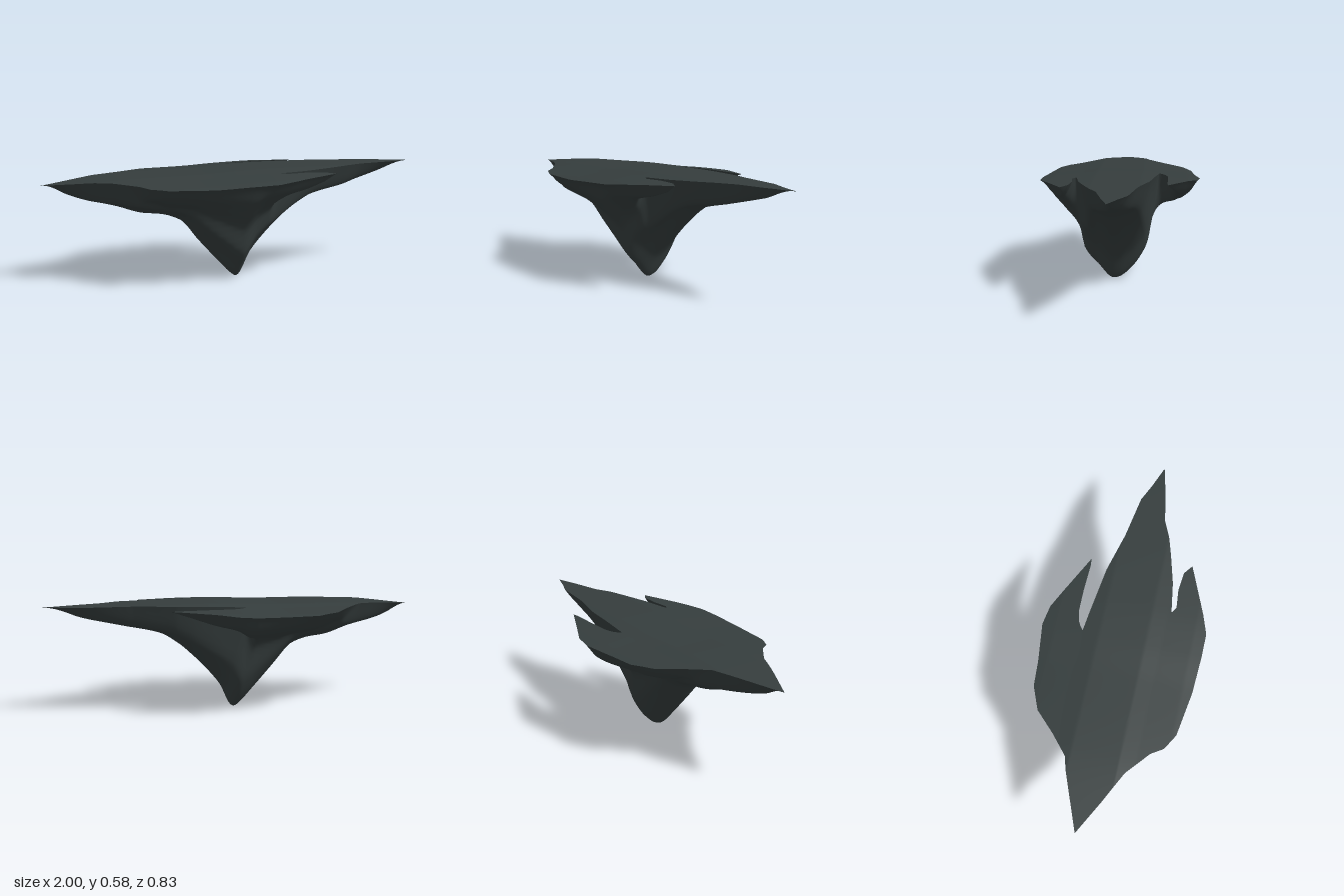
import * as THREE from 'three';
import { mergeGeometries, mergeVertices } from 'three/addons/utils/BufferGeometryUtils.js';

// Plan outline as polylines of [x, z]
const backOuter = [[-1, -0.012], [-0.72, -0.122], [-0.65, -0.143], [-0.55, -0.23], [-0.45, -0.33], [-0.33, -0.38], [-0.2, -0.39], [0, -0.417], [0.1, -0.4], [0.2, -0.35], [0.4, -0.25]];
const backInner = [[0, -0.205], [0.02, -0.222], [0.05, -0.237], [0.1, -0.248], [0.22, -0.25], [0.36, -0.246], [0.4, -0.25]];
const backMain = [[0, -0.205], [0.1, -0.193], [0.35, -0.16], [0.56, -0.107], [0.79, -0.07], [0.88, -0.03], [1, 0.015]];
const frontOuter = [[-1, -0.012], [-0.83, 0.08], [-0.67, 0.16], [-0.55, 0.26], [-0.51, 0.32], [-0.43, 0.365], [-0.2, 0.4], [0, 0.41], [0.12, 0.41], [0.22, 0.375], [0.47, 0.27]];
const frontInner = [[0.19, 0.215], [0.22, 0.235], [0.32, 0.225], [0.42, 0.235], [0.47, 0.27]];
const frontMain = [[0.19, 0.215], [0.35, 0.19], [0.5, 0.15], [0.6, 0.12], [0.69, 0.08], [0.85, 0.05], [1, 0.015]];
const edges = [backOuter, backInner, backMain, frontOuter, frontInner, frontMain];

// Inner seams running from the blunt tip to each notch
const backSeam = [[-1, -0.012], [-0.7, -0.06]];
const frontSeam = [[-1, -0.012], [-0.7, 0.06], [0, 0.2]];

// Depth below the deck along the length, and across the width
const depthX = [[-1, 0], [-0.84, 0.075], [-0.62, 0.145], [-0.5, 0.185], [-0.4, 0.2], [-0.3, 0.24], [-0.2, 0.36], [-0.08, 0.5], [-0.03, 0.555], [0, 0.575], [0.07, 0.455], [0.15, 0.36], [0.22, 0.29], [0.3, 0.22], [0.4, 0.16], [0.6, 0.11], [0.8, 0.06], [1, 0]];
const depthZ = [[-0.417, 0], [-0.4, 0.04], [-0.34, 0.095], [-0.25, 0.155], [-0.2, 0.2], [-0.17, 0.255], [-0.15, 0.35], [-0.125, 0.42], [-0.06, 0.515], [0.01, 0.57], [0.035, 0.575], [0.12, 0.495], [0.19, 0.4], [0.215, 0.285], [0.29, 0.175], [0.35, 0.1], [0.415, 0]];
const finX = [[-1, 0], [-0.5, 0.12], [-0.1, 0.13], [0.1, 0.11], [0.47, 0.03]];
const deckX = [[-1, 0.525], [-0.6, 0.557], [-0.2, 0.565], [0, 0.575], [0.2, 0.58], [1, 0.575]];
const deckDrop = [[0, 0], [0.12, 0], [0.2, 0.01], [0.35, 0.025], [0.42, 0.037]];

function sample(line, t) {
  if (t <= line[0][0]) return line[0][1];
  for (let i = 1; i < line.length; i++) {
    const [x0, y0] = line[i - 1], [x1, y1] = line[i];
    if (t <= x1) return y0 + (y1 - y0) * (t - x0) / (x1 - x0);
  }
  return line[line.length - 1][1];
}

// Smooth curve through the points without overshoot
function smooth(line, t) {
  const n = line.length - 1;
  if (t <= line[0][0]) return line[0][1];
  if (t >= line[n][0]) return line[n][1];
  const slope = (k) => (line[k + 1][1] - line[k][1]) / (line[k + 1][0] - line[k][0]);
  const tangent = (k) => {
    if (k === 0) return slope(0);
    if (k === n) return slope(n - 1);
    const a = slope(k - 1), b = slope(k);
    return a * b > 0 ? 2 * a * b / (a + b) : 0;
  };
  let i = 0;
  while (t > line[i + 1][0]) i++;
  const h = line[i + 1][0] - line[i][0], s = (t - line[i][0]) / h, r = 1 - s;
  return line[i][1] * r * r * (1 + 2 * s) + line[i + 1][1] * s * s * (3 - 2 * s)
    + h * s * r * (tangent(i) * r - tangent(i + 1) * s);
}

function edgeDistance(x, z) {
  let best = Infinity;
  for (const line of edges) {
    for (let i = 1; i < line.length; i++) {
      const [ax, az] = line[i - 1], dx = line[i][0] - ax, dz = line[i][1] - az;
      const t = THREE.MathUtils.clamp(((x - ax) * dx + (z - az) * dz) / (dx * dx + dz * dz), 0, 1);
      best = Math.min(best, Math.hypot(x - ax - t * dx, z - az - t * dz));
    }
  }
  return best;
}

const deckY = (x, z) => smooth(deckX, x) - sample(deckDrop, Math.abs(z));

// Keel and fins blend together and thin out to nothing at the outline
function undersideY(x, z) {
  const d = edgeDistance(x, z);
  const taper = (w) => Math.sin(Math.min(1, d / w) * Math.PI / 2);
  const keel = smooth(depthX, x) * smooth(depthZ, z) / 0.575 * taper(0.06);
  const fin = smooth(finX, x) * taper(0.19);
  return deckY(x, z) - Math.pow(keel ** 5 + fin ** 5, 0.2);
}

// Grid strip between two plan curves, on shared x stations
function strip(zBack, zFront, xEnd, nz, height, up) {
  const nx = Math.round((xEnd + 1) * 100), pos = [], idx = [];
  for (let i = 0; i <= nx; i++) {
    const x = (i - 100) / 100;
    const a = sample(zBack, x), b = sample(zFront, x);
    for (let j = 0; j <= nz; j++) {
      const z = a + (b - a) * j / nz;
      pos.push(x, height(x, z), z);
      if (i < nx && j < nz) {
        const p = i * (nz + 1) + j, q = p + nz + 1;
        if (up) idx.push(p, p + 1, q, q, p + 1, q + 1);
        else idx.push(p, q, p + 1, q, q + 1, p + 1);
      }
    }
  }
  const geo = new THREE.BufferGeometry();
  geo.setAttribute('position', new THREE.Float32BufferAttribute(pos, 3));
  geo.setIndex(idx);
  return geo;
}

// Back fin, central body and front fin welded into one surface
function surface(height, up) {
  const bodyBack = [...backSeam, ...backMain], bodyFront = [...frontSeam, ...frontMain];
  const geo = mergeVertices(mergeGeometries([
    strip(backOuter, [...backSeam, ...backInner], 0.4, 24, height, up),
    strip(bodyBack, bodyFront, 1, 40, height, up),
    strip([...frontSeam, ...frontInner], frontOuter, 0.47, 24, height, up),
  ]), 1e-5);
  geo.computeVertexNormals();
  return geo;
}

export function createModel() {
  const model = new THREE.Group();
  model.name = 'pointedSlab';
  const slate = new THREE.MeshStandardMaterial({ color: 0x353d3d });
  slate.name = 'dark slate';

  const deck = new THREE.Mesh(surface(deckY, true), slate);
  deck.name = 'deck';
  const underside = new THREE.Mesh(surface(undersideY, false), slate);
  underside.name = 'underside';
  model.add(deck, underside);
  return model;
}
